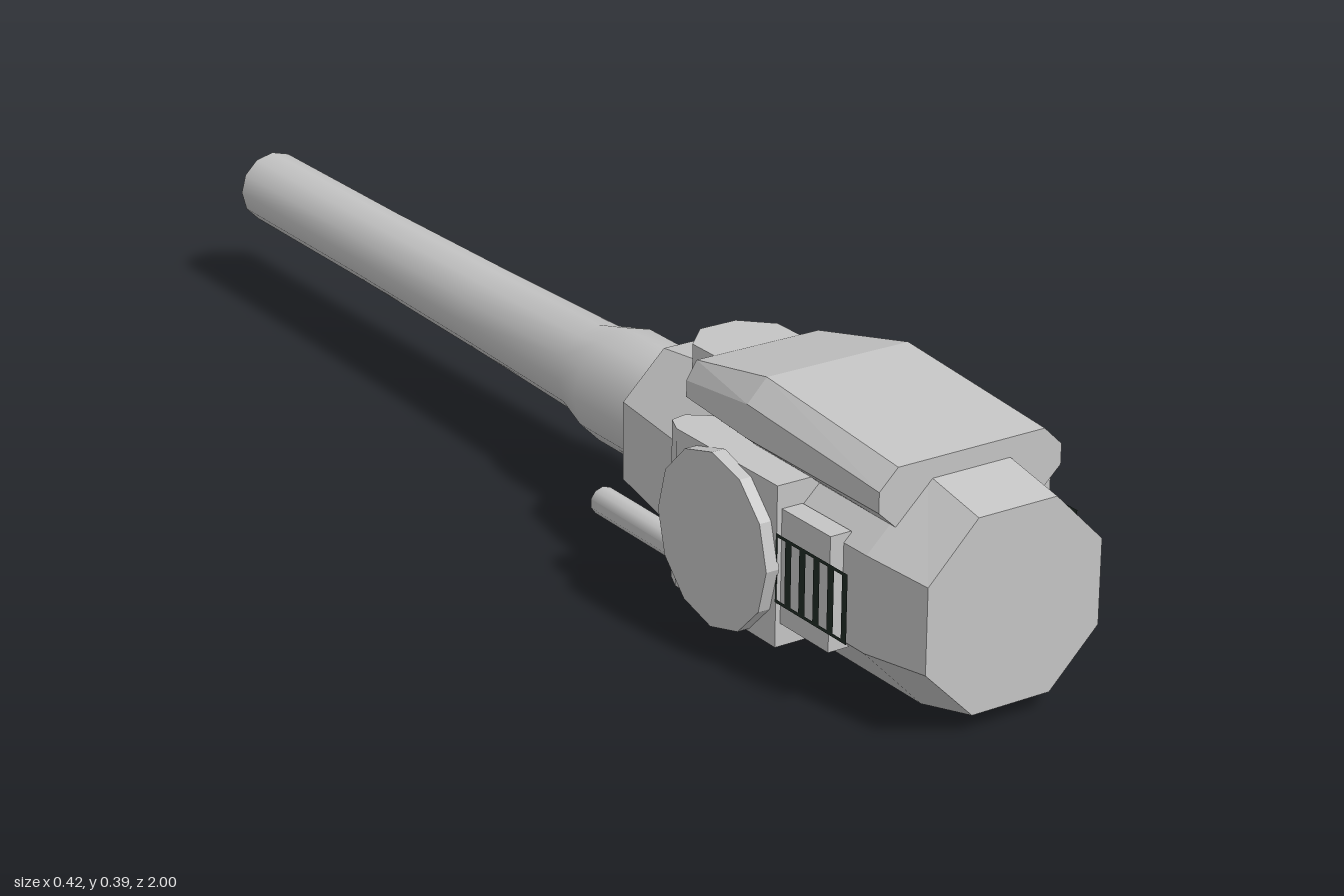
import * as THREE from 'three';
import { toCreasedNormals } from 'three/addons/utils/BufferGeometryUtils.js';

const steel = new THREE.MeshStandardMaterial({ color: 0xc4c4c4 });
steel.name = 'grey steel';
const dark = new THREE.MeshStandardMaterial({ color: 0x1f2b24, side: THREE.DoubleSide });
dark.name = 'dark recess';

const AXIS_Y = 0.172;

// Flat-shaded skin over cross-sections [z, [[x, y], ...]], listed from front to back
function loft(sections, backCap = true) {
  const pos = [];
  const rings = sections.map(([z, pts]) => pts.map(([x, y]) => [x, y, z]));
  const n = rings[0].length;
  const tri = (a, b, c) => pos.push(...a, ...b, ...c);
  for (let i = 0; i < rings.length - 1; i++) {
    for (let j = 0; j < n; j++) {
      const k = (j + 1) % n;
      const a = rings[i][j], b = rings[i][k], c = rings[i + 1][k], d = rings[i + 1][j];
      tri(a, d, b);
      tri(b, d, c);
    }
  }
  const first = rings[0], last = rings[rings.length - 1];
  for (let j = 1; j < n - 1; j++) {
    tri(first[0], first[j], first[j + 1]);
    if (backCap) tri(last[0], last[j + 1], last[j]);
  }
  const g = new THREE.BufferGeometry();
  g.setAttribute('position', new THREE.Float32BufferAttribute(pos, 3));
  g.computeVertexNormals();
  return g;
}

// Right half of a profile, bottom to top, mirrored into a closed loop
const mirrored = (half) => [...half, ...[...half].reverse().map(([x, y]) => [-x, y])];

const octagon = (w, flat, y0, y1, y2, y3) => mirrored([[flat, y0], [w, y1], [w, y2], [flat, y3]]);

const circle = (n, radius) => Array.from({ length: n }, (_, i) => {
  const a = (i / n) * Math.PI * 2, r = radius(i);
  return [Math.cos(a) * r, Math.sin(a) * r];
});

const toVectors = (pts) => pts.map(([x, y]) => new THREE.Vector2(x, y));

const rectangle = (x0, x1, y0, y1) => toVectors([[x0, y0], [x1, y0], [x1, y1], [x0, y1]]);

// Thin vent grille: a dark frame with five upright slots, facing +x
function grille() {
  const pitch = 0.032;
  const plate = new THREE.Shape(rectangle(-0.89, -0.728, 0.12, 0.222));
  for (let i = 0; i < 5; i++) {
    const x = -0.878 + i * pitch;
    plate.holes.push(new THREE.Path(rectangle(x, x + 0.018, 0.125, 0.217)));
  }
  return new THREE.ShapeGeometry(plate).rotateY(Math.PI / 2);
}

export function createModel() {
  const model = new THREE.Group();
  model.name = 'gunTurret';
  const add = (name, geometry, material = steel, parent = model) => {
    const m = new THREE.Mesh(geometry, material);
    m.name = name;
    parent.add(m);
    return m;
  };
  const box = (x, y0, y1, z0, z1, w) =>
    new THREE.BoxGeometry(w, y1 - y0, z1 - z0).translate(x, (y0 + y1) / 2, (z0 + z1) / 2);

  // Octagonal housing
  add('housing', loft([
    [1, octagon(0.145, 0.065, 0.028, 0.107, 0.233, 0.313)],
    [0.89, octagon(0.163, 0.065, 0, 0.1, 0.242, 0.335)],
    [0.5, octagon(0.163, 0.065, 0, 0.1, 0.242, 0.335)],
    [0.255, octagon(0.125, 0.055, 0.045, 0.115, 0.235, 0.303)],
  ]));

  // Armoured hood with bevelled edges
  add('hood', loft([
    [0.9, mirrored([[0.122, 0.275], [0.152, 0.303], [0.152, 0.333], [0.122, 0.362]])],
    [0.6, mirrored([[0.122, 0.28], [0.152, 0.305], [0.152, 0.355], [0.12, 0.388]])],
    [0.41, mirrored([[0.1, 0.285], [0.122, 0.295], [0.122, 0.32], [0.105, 0.347]])],
  ]));

  // Low eight-sided hatch behind the hood
  const hatch = toCreasedNormals(new THREE.CylinderGeometry(0.08, 0.08, 0.06, 8)
    .rotateY(Math.PI / 8), 0.3);
  add('hatch', hatch).position.set(0, 0.316, 0.385);

  // Gun barrel, tapering to the back
  const profile = [[0.091, -0.27], [0.091, -0.07], [0.073, 0], [0.066, 0.3], [0.061, 0.64], [0.06, 1]];
  const barrel = new THREE.LatheGeometry(toVectors(profile), 12).rotateX(-Math.PI / 2);
  add('barrel', toCreasedNormals(barrel, 0.6)).position.y = AXIS_Y;

  // Muzzle ring with a rifled bore
  const rifling = circle(24, (i) => (i % 2 ? 0.031 : 0.037));
  const ring = new THREE.Shape(toVectors(circle(12, () => 0.06)));
  ring.holes.push(new THREE.Path(toVectors(rifling)));
  add('muzzle', new THREE.ShapeGeometry(ring).rotateY(Math.PI)).position.set(0, AXIS_Y, -1);
  add('bore', loft([[-0.85, rifling], [-1, rifling]], false), dark).position.y = AXIS_Y;

  for (const s of [1, -1]) {
    const side = new THREE.Group();
    side.name = s > 0 ? 'leftSide' : 'rightSide';
    model.add(side);

    // Mount block with a bevelled rear end
    const plan = [[0.11, 0.73], [0.193, 0.73], [0.193, 0.49], [0.18, 0.46], [0.155, 0.455], [0.11, 0.49]];
    const shape = new THREE.Shape(toVectors(plan.map(([x, z]) => [s * x, -z])));
    const block = new THREE.ExtrudeGeometry(shape, { depth: 0.238, bevelEnabled: false });
    add('mountBlock', block.rotateX(-Math.PI / 2).translate(0, 0.053, 0), steel, side);

    // Round shield
    const disc = new THREE.CylinderGeometry(0.13, 0.13, 0.021, 12).rotateZ(Math.PI / 2);
    add('shield', toCreasedNormals(disc, 0.3), steel, side).position.set(s * 0.2015, 0.17, 0.604);

    // Small latch at the shield's rear edge
    add('latch', box(s * 0.191, 0.15, 0.19, 0.467, 0.5, 0.014), steel, side);

    // Cheek panel and vent grille
    add('cheekPanel', box(s * 0.168, 0.087, 0.256, 0.7, 0.84, 0.034), steel, side);
    add('ventGrille', grille(), dark, side).position.x = s * 0.193;

    // Lower rod
    const rod = new THREE.CylinderGeometry(0.022, 0.022, 0.47, 10).rotateX(Math.PI / 2);
    add('lowerRod', toCreasedNormals(rod, 0.8), steel, side).position.set(s * 0.104, 0.046, 0.405);
  }
  return model;
}
